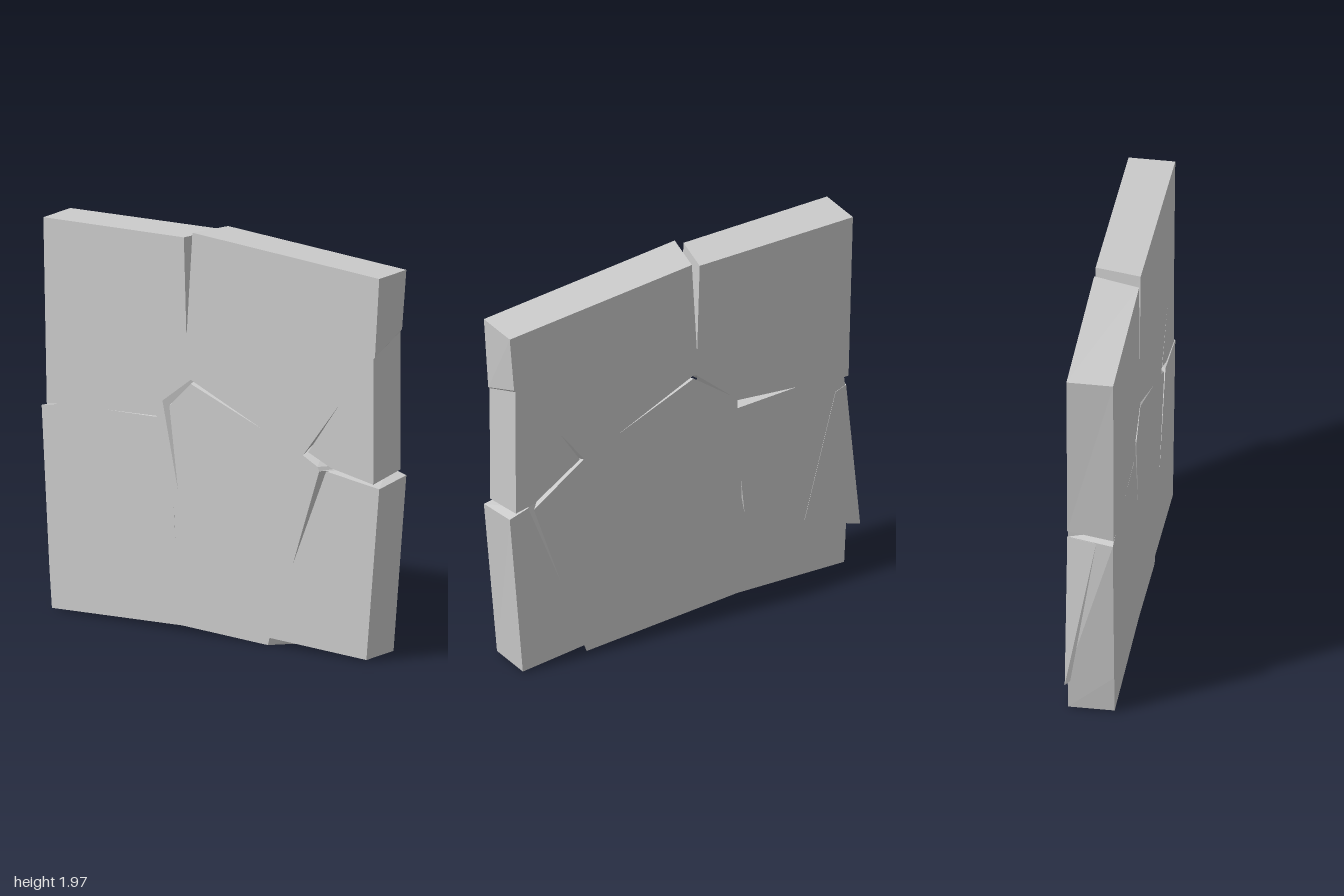
import * as THREE from 'three';
import { ConvexGeometry } from 'three/addons/geometries/ConvexGeometry.js';

const HALF = 0.113; // half thickness of the slab

// Skewed prism between a loop on the +x face and one on the -x face.
// Loops are [z, y] pairs; the first loop is the outline, the rest are cracks.
function crackedSlab(loops) {
  const pos = [];
  const put = (x, ...pts) => pts.forEach((p) => pos.push(x, p.y, -p.x));
  const toVec = (pts) => pts.map(([z, y]) => new THREE.Vector2(-z, y));
  const rings = loops.map(({ right, left }, i) => {
    const a = toVec(left), b = toVec(right);
    if (THREE.ShapeUtils.isClockWise(a) === (i === 0)) { a.reverse(); b.reverse(); }
    return { a, b };
  });
  // broad faces
  for (const [key, x, flip] of [['a', HALF, false], ['b', -HALF, true]]) {
    const [outer, ...holes] = rings.map((r) => r[key]);
    const all = [outer, ...holes].flat();
    for (const [i, j, k] of THREE.ShapeUtils.triangulateShape(outer, holes)) {
      const area = all[j].clone().sub(all[i]).cross(all[k].clone().sub(all[i]));
      if ((area < 0) === flip) put(x, all[i], all[j], all[k]);
      else put(x, all[i], all[k], all[j]);
    }
  }
  // rim and crack walls
  for (const { a, b } of rings) {
    a.forEach((p, i) => {
      const j = (i + 1) % a.length;
      put(HALF, p); put(-HALF, b[i], b[j]);
      put(HALF, p); put(-HALF, b[j]); put(HALF, a[j]);
    });
  }
  const g = new THREE.BufferGeometry();
  g.setAttribute('position', new THREE.Float32BufferAttribute(pos, 3));
  g.computeVertexNormals();
  return g;
}

export function createModel() {
  const group = new THREE.Group();
  group.name = 'crackedStoneSlab';
  const stone = new THREE.MeshStandardMaterial({ color: 0xcccccc, flatShading: true });
  const add = (name, geometry) => {
    const mesh = new THREE.Mesh(geometry, stone);
    mesh.name = name;
    group.add(mesh);
  };

  // Outline: front edge downward with its branching crack, base, back edge, top crack
  const outline = {
    left: [
      [1, 1.895], [0.975, 1.6], [0.967, 1.59], [0.965, 0.908], [0.86, 0.928],
      [0.6, 1.09], [0.71, 1.265], [0.575, 1.085], [0.82, 0.922], [0.862, 0.895],
      [0.71, 0.445], [0.895, 0.915], [1, 0.885], [0.925, 0.01],
      [0.575, 0.04], [0.56, 0.003], [-0.3, 0.04], [-0.91, 0.01],
      [-0.92, 0.21], [-0.915, 1], [-0.91, 1.045], [-0.935, 1.045],
      [-0.96, 1.925], [-0.085, 1.945], [-0.07, 1.455], [-0.04, 1.965],
    ],
    right: [
      [1, 1.895], [0.975, 1.505], [0.967, 1.497], [0.965, 0.878], [0.72, 0.925],
      [0.585, 0.985], [0.765, 1.24], [0.555, 0.965], [0.64, 0.92], [0.65, 0.9],
      [0.495, 0.42], [0.69, 0.905], [1, 0.86], [0.925, 0.01],
      [0.36, 0.04], [0.35, 0.003], [-0.15, 0.03], [-0.91, 0.01],
      [-0.925, 0.21], [-0.97, 1], [-0.86, 1.02], [-0.94, 1.012],
      [-0.96, 1.925], [-0.14, 1.94], [-0.125, 1.447], [-0.09, 1.97],
    ],
  };
  const archCrack = {
    left: [[0.385, 1.155], [-0.05, 1.343], [-0.07, 1.335], [-0.268, 1.155], [-0.07, 1.31], [-0.05, 1.325]],
    right: [[0.319, 1.06], [-0.1, 1.245], [-0.265, 1.12], [-0.174, 0.69], [-0.225, 1.1], [-0.1, 1.225]],
  };
  const wedgeCrack = {
    left: [[-0.3, 1.12], [-0.64, 1.08], [-0.3, 1.075]],
    right: [[-0.3, 1.04], [-0.6, 1.03], [-0.3, 1.035]],
  };
  const sliverCrack = {
    left: [[-0.32, 0.68], [-0.342, 0.47], [-0.325, 0.56]],
    right: [[-0.2, 0.62], [-0.19, 0.45], [-0.195, 0.55]],
  };
  add('slab', crackedSlab([outline, archCrack, wedgeCrack, sliverCrack]));

  // Loose shard leaning out of the lower back edge
  add('shard', new ConvexGeometry([
    [0.115, 1, -0.92], [-0.03, 1, -0.957], [0.115, 0.195, -1],
    [0.115, 0.31, -0.68], [0.09, 0.215, -0.99], [0.115, 0.98, -0.86], [0, 0.95, -0.86],
  ].map((p) => new THREE.Vector3(...p))));

  return group;
}
